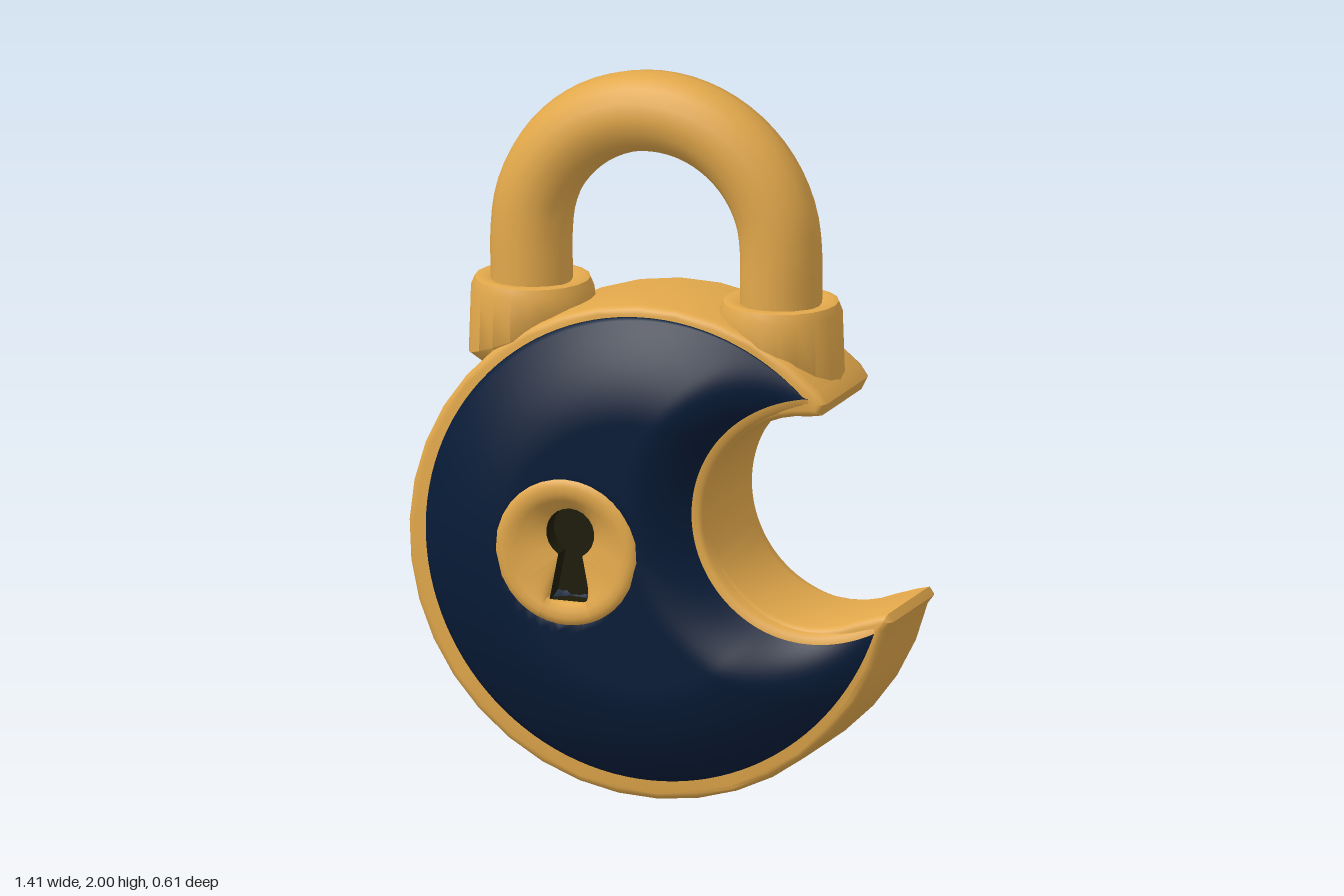
import * as THREE from 'three';
import { toCreasedNormals } from 'three/addons/utils/BufferGeometryUtils.js';

const material = (name, color) => Object.assign(new THREE.MeshStandardMaterial({ color }), { name });
const rad = THREE.MathUtils.degToRad;
const V = (x, y, z) => new THREE.Vector3(x, y, z);

// Surface through rows of points; side -1 mirrors it to the back
function loft(rows, closed, side) {
  const n = rows[0].length, pos = [], index = [];
  rows.forEach(row => row.forEach(p => pos.push(p.x, p.y, p.z * side)));
  for (let r = 0; r < rows.length - 1; r++) {
    for (let c = 0; c < (closed ? n : n - 1); c++) {
      const d = (c + 1) % n, a = r * n + c, b = r * n + d, e = a + n, f = b + n;
      if (side > 0) index.push(a, b, e, b, f, e);
      else index.push(a, e, b, b, e, f);
    }
  }
  const g = new THREE.BufferGeometry();
  g.setAttribute('position', new THREE.Float32BufferAttribute(pos, 3));
  g.setIndex(index);
  g.computeVertexNormals();
  return g;
}

export function createModel() {
  const model = new THREE.Group();
  model.name = 'crescentPadlock';
  const gold = material('gold', 0xe2a84b);
  const navy = material('navy', 0x071b37);
  const dark = material('keyholeDark', 0x1c1b08);
  const add = (name, geometry, mat) => {
    const mesh = new THREE.Mesh(geometry, mat);
    mesh.name = name;
    model.add(mesh);
    return mesh;
  };

  // Crescent body: outer disc with a round bite and blunt horn tips
  const bx = 0.465, by = 0.82, outline = [];
  for (let i = 0; i <= 32; i++) {
    const a = rad(46 + (301 * i) / 32);
    outline.push(new THREE.Vector2(0.704 * Math.cos(a), 0.69 + 0.693 * Math.sin(a)));
  }
  outline.push(new THREE.Vector2(0.705, 0.56), new THREE.Vector2(0.69, 0.582), new THREE.Vector2(0.66, 0.575));
  for (let i = 0; i <= 24; i++) {
    const a = rad(295 - (205 * i) / 24);
    outline.push(new THREE.Vector2(bx + 0.3 * Math.cos(a), by + 0.295 * Math.sin(a)));
  }
  outline.push(new THREE.Vector2(0.495, 1.12), new THREE.Vector2(0.512, 1.155));
  const body = new THREE.ExtrudeGeometry(new THREE.Shape(outline), {
    depth: 0.3, bevelThickness: 0.025, bevelSize: 0.02, bevelOffset: -0.02, bevelSegments: 3,
  });
  body.translate(0, 0, -0.15);
  add('crescentBody', toCreasedNormals(body, 0.6), gold);

  // Keyhole outline around the escutcheon centre
  const kx = -0.195, ky = 0.705, key = [];
  for (let i = 0; i <= 18; i++) {
    const a = rad(-60 + (300 * i) / 18);
    key.push([0.07 * Math.cos(a), 0.045 + 0.07 * Math.sin(a)]);
  }
  const line = (x0, y0, x1, y1, n) => {
    for (let i = 1; i <= n; i++) key.push([x0 + ((x1 - x0) * i) / n, y0 + ((y1 - y0) * i) / n]);
  };
  line(-0.035, -0.0156, -0.06, -0.145, 10);
  line(-0.06, -0.145, 0.06, -0.145, 6);
  line(0.06, -0.145, 0.035, -0.0156, 10);
  key.pop();
  const circleRow = (r, z) => key.map(([x, y]) => {
    const a = Math.atan2(y, x);
    return V(kx + r * Math.cos(a), ky + r * Math.sin(a), z);
  });
  const keyRow = (s, z) => key.map(([x, y]) => V(kx + x * s, ky + y * s, z));

  // Domed inlay: height rises with distance from both crescent edges
  const rise = t => 1 - Math.pow(1 - THREE.MathUtils.clamp(t, 0, 1), 1.7);
  const inlayRows = [];
  const across = 36, along = 96;
  for (let j = 0; j <= across; j++) {
    const v = j / across, row = [];
    for (let i = 0; i <= along; i++) {
      const u = i / along;
      const ao = rad(45.3 + 299.7 * u), ai = rad(90 + 214 * u);
      const ro = 0.648 + 0.032 * Math.pow(u, 8);
      const ri = 0.33 + 0.02 * (Math.pow(u, 8) + Math.pow(1 - u, 8));
      const ox = ro * Math.cos(ao), oy = 0.705 + ro * Math.sin(ao);
      const ix = bx + ri * Math.cos(ai), iy = by + ri * Math.sin(ai);
      const x = ox + (ix - ox) * v, y = oy + (iy - oy) * v;
      const dOut = ro - Math.hypot(x, y - 0.705);
      const dIn = Math.hypot(x - bx, y - by) - ri;
      let z = 0.178 + 0.117 * rise(dOut / 0.27) * (0.2 + 0.8 * rise(dIn / 0.15));
      // hollow behind the escutcheon
      const k = THREE.MathUtils.smoothstep(Math.hypot(x - kx, y - ky), 0.13, 0.19);
      z = 0.19 * (1 - k) + z * k;
      row.push(V(x, y, z));
    }
    inlayRows.push(row);
  }
  const innerEdge = inlayRows[across];
  inlayRows.unshift(inlayRows[0].map(p => V(p.x, p.y, 0.165)));

  // Rounded gold lip between the inlay and the bite
  const lipRow = (s, drop) => innerEdge.map(p => V(bx + (p.x - bx) * s, by + (p.y - by) * s, Math.max(p.z - drop, 0.15)));
  const lipRows = [innerEdge, lipRow(0.95, 0.004), lipRow(0.92, 0.014), lipRow(0.905, 0.06)];

  for (const [label, side] of [['front', 1], ['back', -1]]) {
    add(label + 'Inlay', loft(inlayRows, false, side), navy);
    add(label + 'BiteLip', loft(lipRows, false, side), gold);
    // Dished escutcheon with a raised round lip
    add(label + 'Escutcheon', loft([
      circleRow(0.21, 0.2), circleRow(0.21, 0.285), circleRow(0.202, 0.299), circleRow(0.185, 0.305),
      circleRow(0.165, 0.303), circleRow(0.145, 0.295), keyRow(1, 0.262),
    ], true, side), gold);
    // Recessed keyhole
    add(label + 'Keyhole', toCreasedNormals(loft([
      keyRow(1, 0.262), keyRow(1, 0.205), keyRow(0.01, 0.205),
    ], true, side), 0.6), dark);
  }

  // Shackle
  const path = [V(-0.408, 1.25, 0), V(-0.408, 1.4, 0)];
  for (let i = 0; i <= 12; i++) {
    const a = Math.PI * (1 - i / 12);
    path.push(V(-0.045 + 0.363 * Math.cos(a), 1.525 + 0.363 * Math.sin(a), 0));
  }
  path.push(V(0.318, 1.4, 0), V(0.318, 1.25, 0));
  add('shackle', new THREE.TubeGeometry(new THREE.CatmullRomCurve3(path), 48, 0.112, 16), gold);

  // Collars, their lower rims slanted to follow the body
  for (const [label, x, slope] of [['right', -0.405, 0.42], ['left', 0.318, -0.35]]) {
    const profile = [[0.001, -0.21], [0.13, -0.21], [0.174, -0.16], [0.168, -0.03], [0.158, -0.005], [0.14, 0], [0.1, -0.015]]
      .map(([r, y]) => new THREE.Vector2(r, y));
    const g = new THREE.LatheGeometry(profile, 20);
    const p = g.attributes.position;
    for (let i = 0; i < p.count; i++) {
      if (p.getY(i) < -0.1) p.setY(i, p.getY(i) + slope * p.getX(i) + 0.01);
    }
    add(label + 'Collar', toCreasedNormals(g, 0.9), gold).position.set(x, 1.395, 0);
  }
  return model;
}
